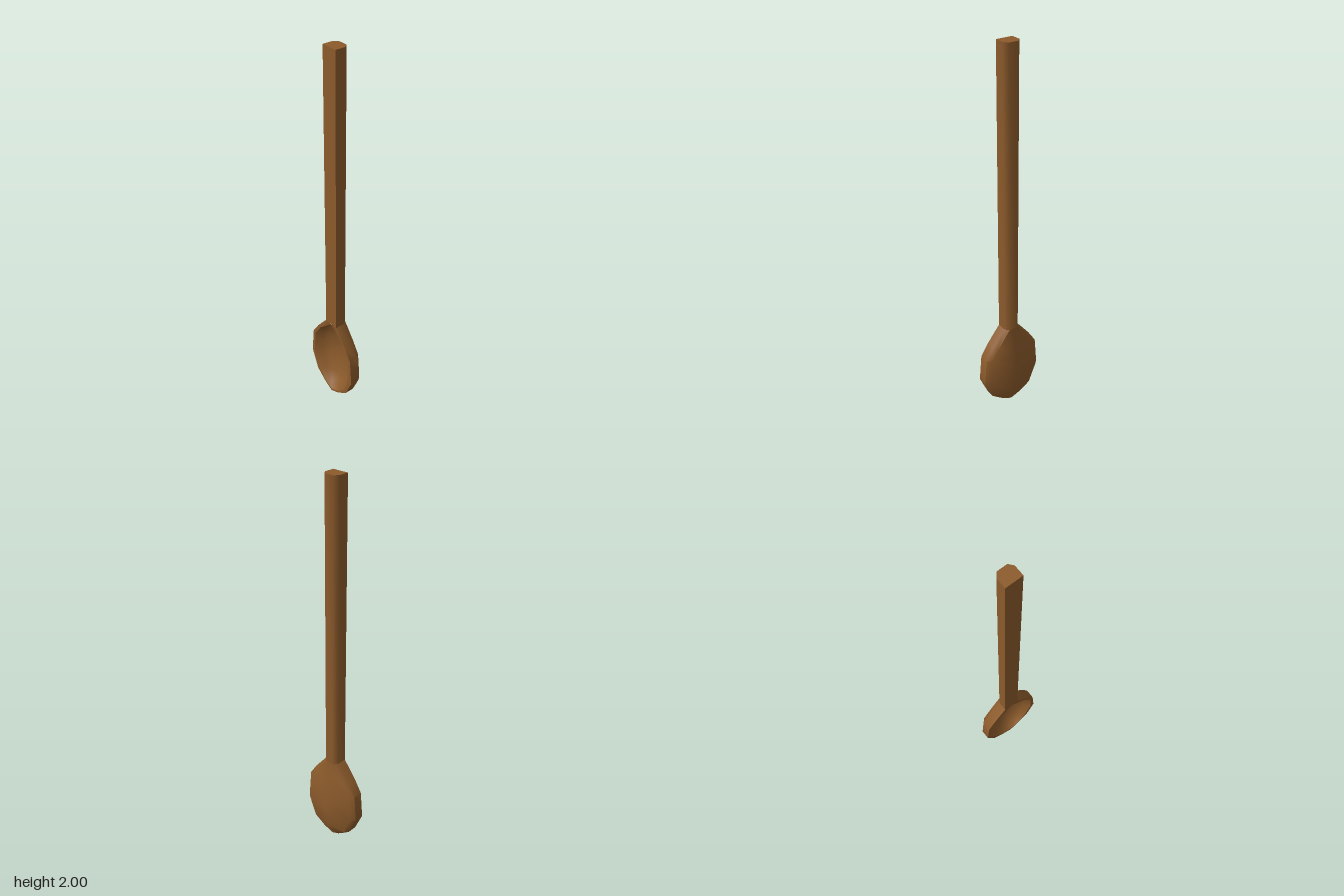
import * as THREE from 'three';
import { toCreasedNormals } from 'three/addons/utils/BufferGeometryUtils.js';

const FRONT = 0.051;

// Skin closed loops of points (top to bottom), dropping collapsed triangles
function skin(loops) {
  const pos = [];
  const tri = (...p) => {
    if (new THREE.Triangle(...p).getArea() > 1e-8) p.forEach((v) => pos.push(v.x, v.y, v.z));
  };
  for (let i = 0; i < loops.length - 1; i++) {
    const A = loops[i], B = loops[i + 1], n = A.length;
    for (let j = 0; j < n; j++) {
      const k = (j + 1) % n;
      if (j < n / 2) {
        tri(A[j], A[k], B[k]);
        tri(A[j], B[k], B[j]);
      } else {
        // mirrored diagonal keeps both halves alike
        tri(A[j], A[k], B[j]);
        tri(A[k], B[k], B[j]);
      }
    }
  }
  const g = new THREE.BufferGeometry();
  g.setAttribute('position', new THREE.Float32BufferAttribute(pos, 3));
  return toCreasedNormals(g, 0.75);
}

// One bowl section: hollow from right rim to left rim, then round the back
function bowlSection([y, w, shoulder, shoulderZ, ridgeZ, iy, iw, hollowZ]) {
  const V = (x, yy, z) => new THREE.Vector3(x, yy, z);
  const loop = [];
  for (let j = 0; j <= 10; j++) {
    const u = 1 - j / 5;
    loop.push(V(iw * u, iy, FRONT - (FRONT - hollowZ) * Math.pow(1 - u * u, 0.7)));
  }
  const back = [[-1, FRONT], [-1, 0], [-shoulder, shoulderZ], [0, ridgeZ],
    [shoulder, shoulderZ], [1, 0], [1, FRONT]];
  back.forEach(([s, z]) => loop.push(V(s * w, y, z)));
  return loop;
}

export function createModel() {
  const group = new THREE.Group();
  const wood = new THREE.MeshStandardMaterial({ color: 0x8b5a2b });
  const add = (name, geometry) => {
    const mesh = new THREE.Mesh(geometry, wood);
    mesh.name = name;
    group.add(mesh);
  };

  // Handle: flat front, chamfered back, extruded upward
  const section = new THREE.Shape([
    [-0.042, -FRONT], [0.042, -FRONT], [0.042, 0], [0.025, 0.021], [-0.025, 0.021], [-0.042, 0],
  ].map(([x, y]) => new THREE.Vector2(x, y)));
  const handle = new THREE.ExtrudeGeometry(section, { depth: 1.502, bevelEnabled: false });
  handle.rotateX(-Math.PI / 2).translate(0, 0.498, 0);
  add('handle', toCreasedNormals(handle, 0.95));

  // Bowl: y, half width, shoulder ratio, shoulder z, ridge z, then hollow y, half width, z
  const rows = [
    [0.5, 0.042, 0.6, -0.021, -0.021, 0.497, 0, FRONT],
    [0.41, 0.113, 0.82, -0.021, -0.034, 0.41, 0.092, 0.004],
    [0.34, 0.157, 0.87, -0.021, -0.045, 0.335, 0.139, -0.02],
    [0.26, 0.164, 0.88, -0.021, -0.052, 0.26, 0.146, -0.029],
    [0.19, 0.17, 0.88, -0.021, -0.051, 0.195, 0.149, -0.027],
    [0.08, 0.123, 0.86, -0.02, -0.038, 0.09, 0.106, -0.009],
    [0.03, 0.06, 0.85, -0.009, -0.012, 0.037, 0.055, 0.02],
    [0, 0, 0.85, 0, 0, 0.013, 0, FRONT],
  ];
  add('bowl', skin(rows.map(bowlSection)));
  return group;
}
